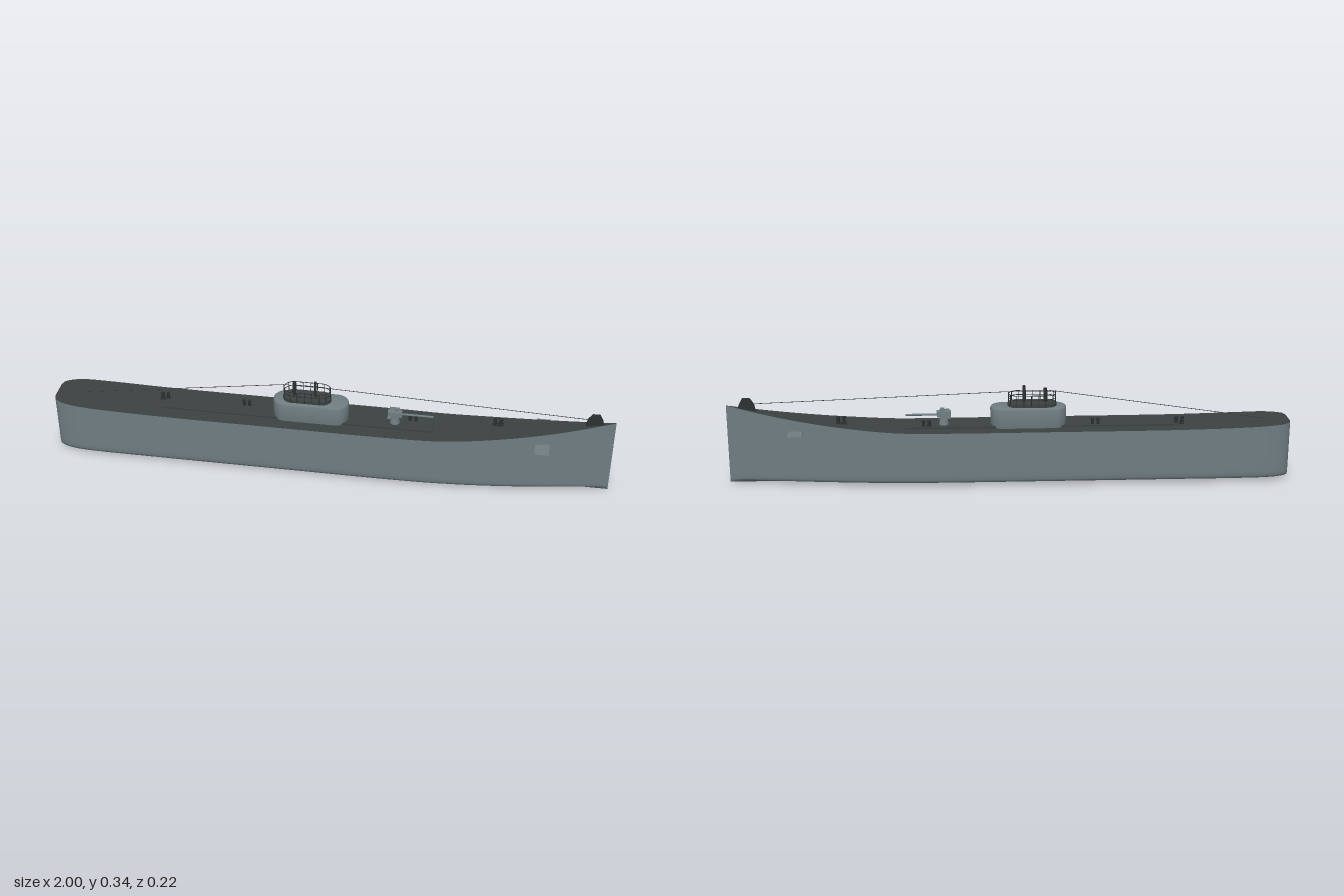
import * as THREE from 'three';
import { toCreasedNormals } from 'three/addons/utils/BufferGeometryUtils.js';

const mat = (name, color, side = THREE.FrontSide) => {
  const m = new THREE.MeshStandardMaterial({ color, side });
  m.name = name;
  return m;
};

// surface through rows of equally many points
function loft(rows) {
  const n = rows[0].length, index = [];
  for (let i = 0; i < rows.length - 1; i++)
    for (let j = 0; j < n - 1; j++) {
      const a = i * n + j, b = a + n;
      index.push(a, a + 1, b, a + 1, b + 1, b);
    }
  const g = new THREE.BufferGeometry();
  g.setAttribute('position', new THREE.Float32BufferAttribute(rows.flat(2), 3));
  g.setIndex(index);
  g.computeVertexNormals();
  return g;
}

// plan outline with round ends, from x0 to x1, half width r
function stadium(x0, x1, r) {
  const s = new THREE.Shape();
  s.absarc(x1 - r, 0, r, -Math.PI / 2, Math.PI / 2);
  s.absarc(x0 + r, 0, r, Math.PI / 2, Math.PI * 1.5);
  s.closePath();
  return s;
}

function upright(shape, y0, y1, bevel = 0) {
  const g = new THREE.ExtrudeGeometry(shape, {
    depth: y1 - y0 - bevel, curveSegments: 16, bevelEnabled: bevel > 0,
    bevelSize: bevel, bevelThickness: bevel, bevelOffset: -bevel, bevelSegments: 3,
  });
  g.rotateX(-Math.PI / 2).translate(0, y0, 0);
  return toCreasedNormals(g, 0.6);
}

export function createModel() {
  const model = new THREE.Group();
  model.name = 'submarine';
  const hullGrey = mat('hullGrey', 0x6f7d81);
  const deckDark = mat('deckDark', 0x3b4241);
  const fittingDark = mat('fittingDark', 0x2c3132);
  const wireGrey = mat('wireGrey', 0x3a4042);

  const add = (name, geometry, material, x = 0, y = 0, z = 0, parent = model) => {
    const m = new THREE.Mesh(geometry, material);
    m.name = name;
    m.position.set(x, y, z);
    parent.add(m);
    return m;
  };
  const rod = (name, a, b, r, material, parent = model) => {
    const p = new THREE.Vector3(...a), q = new THREE.Vector3(...b), d = q.clone().sub(p);
    const m = add(name, new THREE.CylinderGeometry(r, r, d.length(), 8), material, 0, 0, 0, parent);
    m.position.copy(p).add(q).multiplyScalar(0.5);
    m.quaternion.setFromUnitVectors(new THREE.Vector3(0, 1, 0), d.normalize());
  };

  // hull stations: x, deck height, half beam
  const stations = [
    [-1, 0.21, 0.038], [-0.992, 0.21, 0.058], [-0.965, 0.209, 0.076], [-0.92, 0.208, 0.087],
    [-0.84, 0.205, 0.092], [-0.6, 0.2, 0.093], [-0.2, 0.199, 0.093], [0.25, 0.199, 0.092],
    [0.4, 0.201, 0.087], [0.55, 0.213, 0.075], [0.7, 0.231, 0.056], [0.85, 0.255, 0.031],
    [1, 0.285, 0.001],
  ];
  const line = new THREE.CatmullRomCurve3(stations.map((s) => new THREE.Vector3(...s))).getPoints(96);
  const half = ({ x, y, z }) => [
    [x, y, z], [x, y * 0.8, z], [x, 0.1, z], [x, 0.04, z], [x, 0.024, z * 0.985],
    [x, 0.015, z * 0.95], [x, 0.011, z * 0.8], [x, 0, 0],
  ];
  const mirror = (pts) => pts.map(([x, y, z]) => [x, y, -z]);
  const sections = line.map((p) => {
    const h = half(p);
    return [...h, ...mirror(h).reverse().slice(1)];
  });
  add('hull', loft(sections), hullGrey);
  add('deck', loft(line.map((p) => [[p.x, p.y, -p.z], [p.x, p.y, p.z]])), deckDark);
  const stern = half(line[0]);
  add('transom', loft([mirror(stern), stern]), hullGrey);

  // raised walkway along the deck
  add('deckCasing', new THREE.BoxGeometry(0.97, 0.01, 0.076), deckDark, -0.115, 0.2, 0);

  // bow diving planes
  for (const s of [1, -1])
    add(s > 0 ? 'rightDivingPlane' : 'leftDivingPlane',
      new THREE.BoxGeometry(0.05, 0.004, 0.07), hullGrey, 0.755, 0.198, s * 0.074);

  // conning tower and bridge
  add('conningTower', upright(stadium(-0.2, 0.07, 0.047), 0.195, 0.271, 0.006), hullGrey);
  add('bridge', upright(stadium(-0.165, 0.008, 0.035), 0.265, 0.283), deckDark);
  const railing = new THREE.Group();
  railing.name = 'railing';
  model.add(railing);
  const outline = stadium(-0.162, 0.005, 0.036).getSpacedPoints(32).slice(0, -1);
  for (const y of [0.3, 0.315]) {
    const path = new THREE.CatmullRomCurve3(outline.map((p) => new THREE.Vector3(p.x, y, -p.y)), true);
    add('rail', new THREE.TubeGeometry(path, 64, 0.0013, 5, true), fittingDark, 0, 0, 0, railing);
  }
  outline.forEach((p, i) => {
    if (i % 2 === 0) rod('railPost', [p.x, 0.275, -p.y], [p.x, 0.315, -p.y], 0.0013, fittingDark, railing);
  });
  rod('rearPeriscope', [-0.125, 0.28, 0], [-0.125, 0.334, 0], 0.006, fittingDark);
  rod('frontPeriscope', [-0.05, 0.28, 0], [-0.05, 0.344, 0], 0.005, fittingDark);

  // deck gun
  const gun = new THREE.Group();
  gun.name = 'deckGun';
  model.add(gun);
  add('gunPedestal', new THREE.CylinderGeometry(0.012, 0.019, 0.034, 16), hullGrey, 0.235, 0.217, 0, gun);
  add('gunMount', new THREE.BoxGeometry(0.05, 0.022, 0.02), hullGrey, 0.235, 0.243, 0, gun);
  for (const s of [1, -1]) {
    add('gunCheek', new THREE.BoxGeometry(0.036, 0.026, 0.005), hullGrey, 0.232, 0.243, s * 0.016, gun);
    add('gunSeat', new THREE.BoxGeometry(0.014, 0.006, 0.012), hullGrey, 0.217, 0.236, s * 0.02, gun);
  }
  add('gunSight', new THREE.BoxGeometry(0.016, 0.012, 0.01), hullGrey, 0.24, 0.259, 0, gun);
  rod('gunBarrel', [0.25, 0.241, 0], [0.37, 0.241, 0], 0.004, hullGrey, gun);

  // mooring bollards in pairs
  for (const [x, y] of [[-0.603, 0.2], [-0.303, 0.2], [0.297, 0.2], [0.597, 0.219]]) {
    const pair = new THREE.Group();
    pair.name = 'bollardPair';
    model.add(pair);
    add('bollardBase', new THREE.BoxGeometry(0.038, 0.006, 0.014), fittingDark, x, y + 0.002, -0.02, pair);
    for (const s of [1, -1]) {
      rod('bollard', [x + s * 0.01, y, -0.02], [x + s * 0.01, y + 0.024, -0.02], 0.0055, fittingDark, pair);
      rod('bollardCap', [x + s * 0.01, y + 0.021, -0.02], [x + s * 0.01, y + 0.026, -0.02], 0.007, fittingDark, pair);
    }
  }

  // cable fairlead on the bow
  const lead = new THREE.Shape([[0.897, 0.262], [0.958, 0.272], [0.955, 0.288], [0.943, 0.31], [0.917, 0.31], [0.902, 0.288]]
    .map((p) => new THREE.Vector2(...p)));
  add('bowFairlead', new THREE.ExtrudeGeometry(lead, { depth: 0.014, bevelEnabled: false }), fittingDark, 0, 0, -0.007);

  // aerial wires
  rod('sternWire', [-0.93, 0.208, 0], [-0.162, 0.322, 0], 0.0011, wireGrey);
  rod('towerWire', [-0.162, 0.322, 0], [0.005, 0.322, 0], 0.0009, wireGrey);
  rod('bowWire', [0.005, 0.322, 0], [0.93, 0.289, 0], 0.0011, wireGrey);
  for (const x of [-0.162, 0.005]) rod('wireStay', [x, 0.28, 0], [x, 0.322, 0], 0.0013, fittingDark);

  return model;
}
